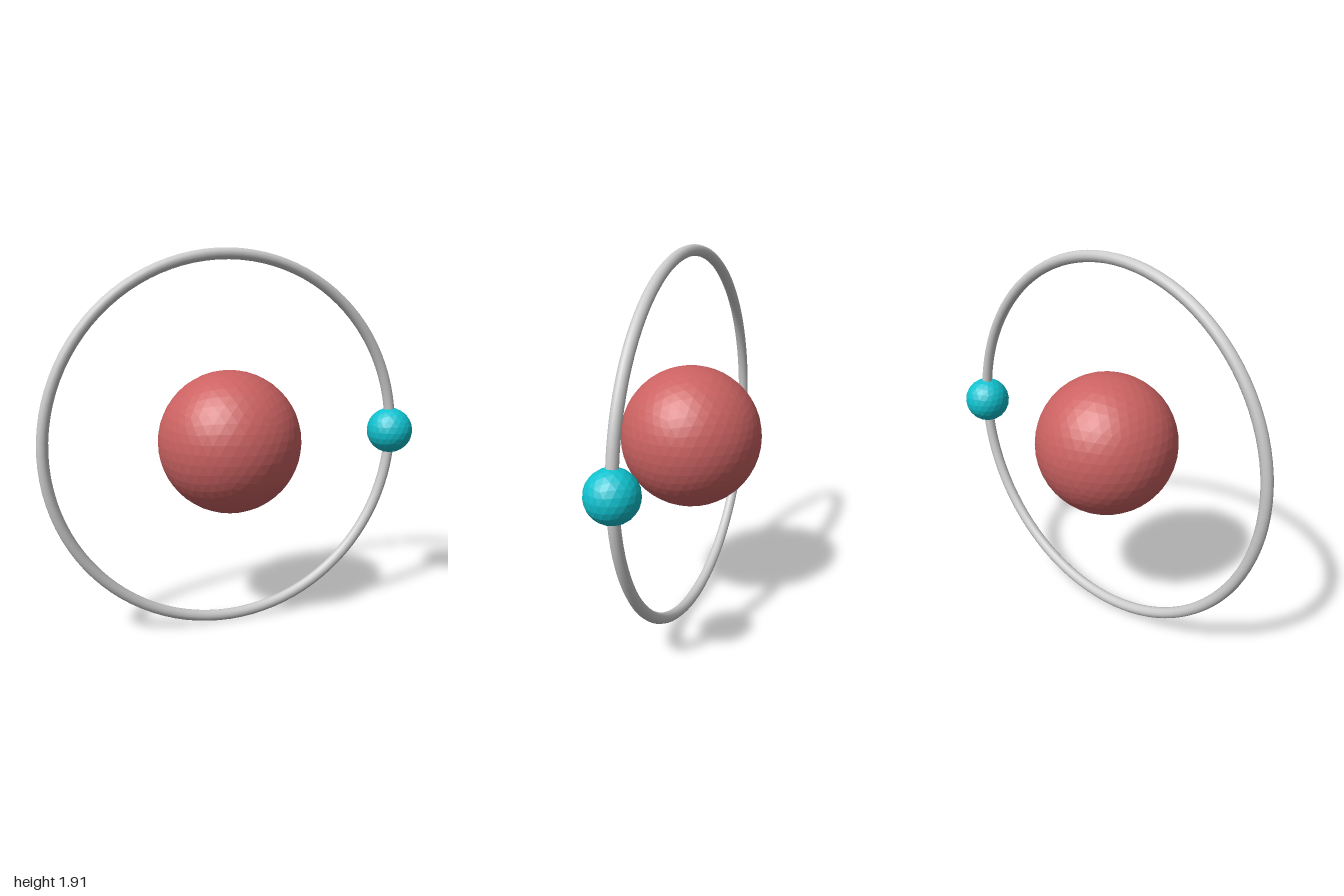
import * as THREE from 'three';

const CENTER_X = -0.047, CENTER_Y = 0.953;
const RING_RADIUS = 0.925, TUBE_RADIUS = 0.028;

// Faceted ball made of even triangles, with a corner at its top
function ball(name, radius, detail, color, x) {
  const geometry = new THREE.IcosahedronGeometry(radius, detail);
  geometry.rotateZ(-Math.atan(2 / (1 + Math.sqrt(5))));
  const mesh = new THREE.Mesh(geometry, new THREE.MeshStandardMaterial({ color, flatShading: true }));
  mesh.name = name;
  mesh.position.set(x, CENTER_Y, 0);
  return mesh;
}

export function createModel() {
  const group = new THREE.Group();
  group.name = 'atom';

  // Central ball and the small ball riding on the ring
  group.add(ball('nucleus', 0.361, 7, 0xcc6262, CENTER_X));
  group.add(ball('electron', 0.122, 3, 0x10c2cf, CENTER_X + RING_RADIUS));

  // Upright orbit ring
  const ring = new THREE.Mesh(
    new THREE.TorusGeometry(RING_RADIUS, TUBE_RADIUS, 12, 96),
    new THREE.MeshStandardMaterial({ color: 0xcccccc })
  );
  ring.name = 'orbitRing';
  ring.position.set(CENTER_X, CENTER_Y, 0);
  group.add(ring);

  return group;
}
